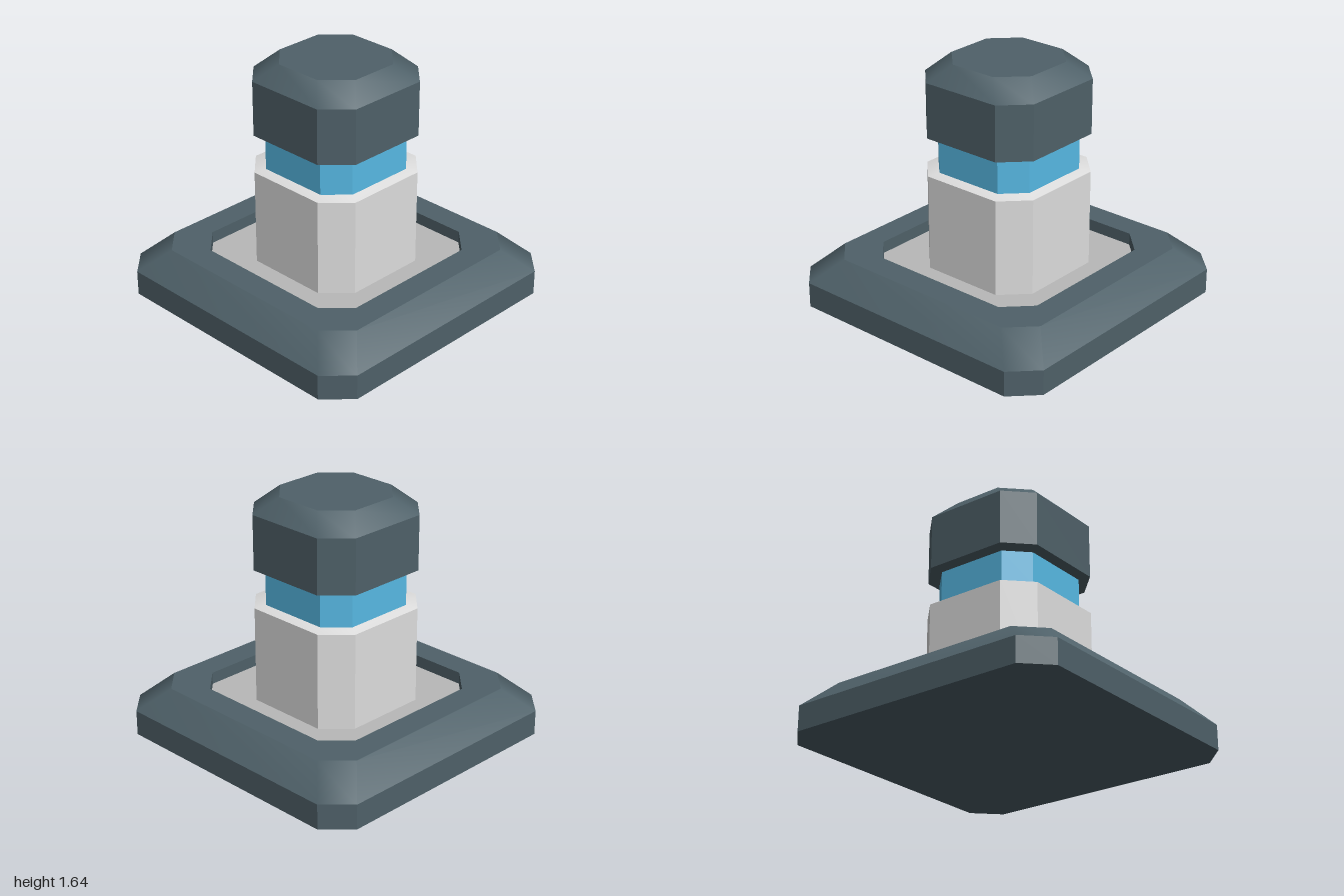
import * as THREE from 'three';
import { mergeGeometries } from 'three/addons/utils/BufferGeometryUtils.js';

const DEPTH = 0.995; // z is very slightly shorter than x

// Square with cut corners: h = half width, f = half length of the straight edge
function ring([h, f, y]) {
  return [[h, -f], [h, f], [f, h], [-f, h], [-h, f], [-h, -f], [-f, -h], [f, -h]]
    .map(([x, z]) => [x, y, z * DEPTH]);
}

// Skin a stack of rings; sloped bands are smooth around the corners, others flat
function loft(rings) {
  const bands = [];
  for (let k = 0; k + 1 < rings.length; k++) {
    const lower = rings[k], upper = rings[k + 1];
    const index = [];
    for (let i = 0; i < 8; i++) {
      const j = (i + 1) % 8;
      if (upper[0] > 0) index.push(i, 8 + i, 8 + j);
      if (lower[0] > 0) index.push(i, 8 + j, j);
    }
    let g = new THREE.BufferGeometry();
    g.setAttribute('position', new THREE.Float32BufferAttribute([...ring(lower), ...ring(upper)].flat(), 3));
    g.setIndex(index);
    const sloped = lower[0] !== upper[0] && lower[2] !== upper[2];
    if (sloped) g.computeVertexNormals();
    g = g.toNonIndexed();
    if (!sloped) g.computeVertexNormals();
    bands.push(g);
  }
  return mergeGeometries(bands);
}

function material(name, color) {
  const m = new THREE.MeshStandardMaterial({ color });
  m.name = name;
  return m;
}

export function createModel() {
  const group = new THREE.Group();
  group.name = 'beaconPost';
  const slate = material('slate', 0x4f6169);
  const lightGrey = material('lightGrey', 0xdedede);
  const midGrey = material('midGrey', 0xb8b8b8);
  const blue = material('blue', 0x57b9e4);

  const add = (name, mat, rings) => {
    const mesh = new THREE.Mesh(loft(rings), mat);
    mesh.name = name;
    group.add(mesh);
  };

  // Bevelled base with a shallow recess
  add('base', slate, [
    [0, 0, 0], [1, 0.835, 0], [1, 0.835, 0.168], [0.835, 0.67, 0.33],
    [0.658, 0.492, 0.33], [0.658, 0.492, 0.25],
  ]);
  // Floor of the recess
  add('recessFloor', midGrey, [[0.658, 0.492, 0.25], [0, 0, 0.25]]);
  // Column with a slightly sloped shoulder
  add('column', lightGrey, [
    [0.446, 0.282, 0.25], [0.446, 0.282, 0.895], [0.383, 0.243, 0.912], [0, 0, 0.912],
  ]);
  // Blue band
  add('lightBand', blue, [[0.383, 0.243, 0.912], [0.383, 0.243, 1.138]]);
  // Bevelled cap
  add('cap', slate, [
    [0, 0, 1.136], [0.383, 0.243, 1.136], [0.446, 0.282, 1.154], [0.446, 0.282, 1.522],
    [0.328, 0.165, 1.638], [0, 0, 1.638],
  ]);
  return group;
}
